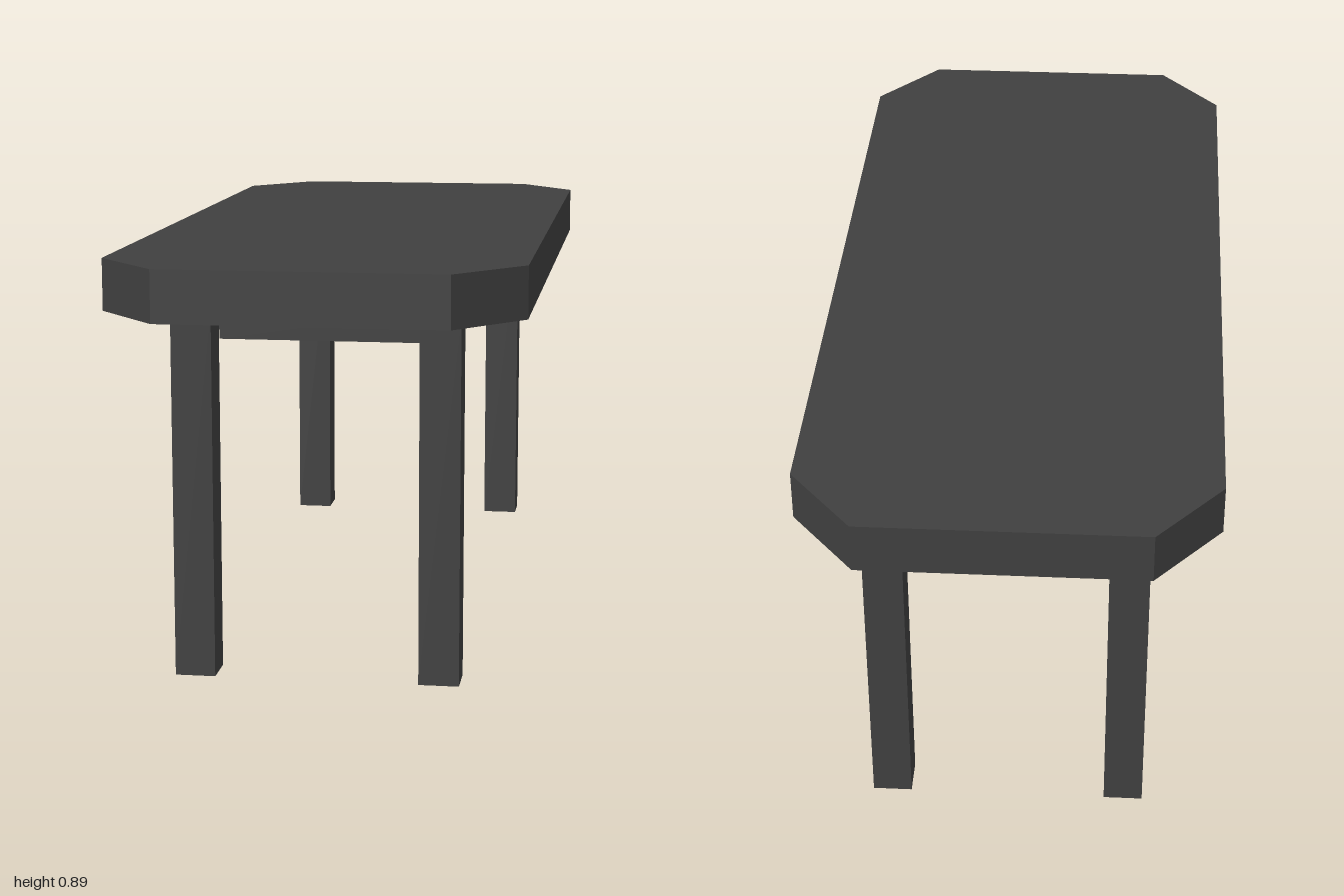
import * as THREE from 'three';

export function createModel() {
  const model = new THREE.Group();
  const material = new THREE.MeshStandardMaterial({ color: 0x404040, flatShading: true });

  // Box given by its minimum and maximum corners
  function addBox(name, [x0, y0, z0], [x1, y1, z1]) {
    const mesh = new THREE.Mesh(new THREE.BoxGeometry(x1 - x0, y1 - y0, z1 - z0), material);
    mesh.name = name;
    mesh.position.set((x0 + x1) / 2, (y0 + y1) / 2, (z0 + z1) / 2);
    model.add(mesh);
  }

  // Slab top with four clipped corners
  const W = 0.444, L = 1, w = 0.303, l = 0.834;
  const outline = new THREE.Shape([
    [w, -L], [W, -l], [W, l], [w, L], [-w, L], [-W, l], [-W, -l], [-w, -L],
  ].map(([x, y]) => new THREE.Vector2(x, y)));
  const topGeometry = new THREE.ExtrudeGeometry(outline, { depth: 0.111, bevelEnabled: false });
  topGeometry.rotateX(-Math.PI / 2);
  const top = new THREE.Mesh(topGeometry, material);
  top.name = 'tableTop';
  top.position.y = 0.782;
  model.add(top);

  // Shallow apron block under the top, between the legs
  addBox('apron', [-0.214, 0.715, -0.743], [0.219, 0.782, 0.751]);

  // Four square legs
  for (const [side, x0, x1] of [['Right', -0.299, -0.213], ['Left', 0.223, 0.309]]) {
    for (const [end, z0, z1] of [['front', 0.76, 0.842], ['back', -0.825, -0.743]]) {
      addBox(`${end}${side}Leg`, [x0, 0, z0], [x1, 0.78, z1]);
    }
  }

  return model;
}
